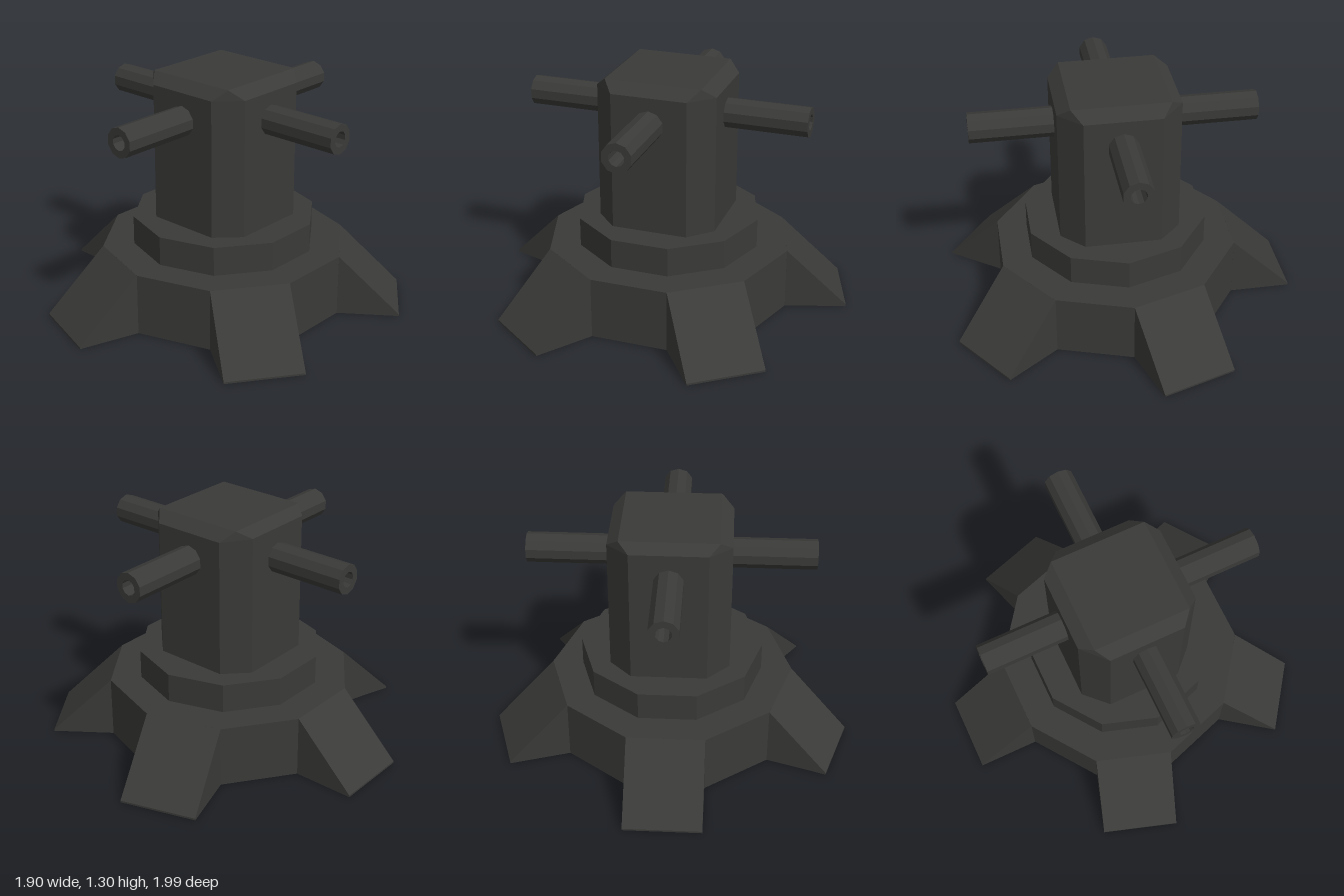
import * as THREE from 'three';
import { ConvexGeometry } from 'three/addons/geometries/ConvexGeometry.js';

export function createModel() {
  const model = new THREE.Group();
  model.name = 'turret';
  const body = new THREE.Group(); // everything shares one slightly offset axis
  body.name = 'body';
  body.position.x = 0.03;
  model.add(body);

  const material = new THREE.MeshStandardMaterial({ color: 0x3a3a38, flatShading: true });
  const add = (name, geometry) => {
    const mesh = new THREE.Mesh(geometry, material);
    mesh.name = name;
    body.add(mesh);
    return mesh;
  };

  // Ten-sided base and the smaller step on it
  add('base', new THREE.CylinderGeometry(0.676, 0.676, 0.34, 10)).position.y = 0.17;
  add('step', new THREE.CylinderGeometry(0.505, 0.505, 0.16, 10)).position.y = 0.42;

  // Five sloped feet, one on every second side of the base
  const footWidth = 0.418;
  const footProfile = new THREE.Shape([
    new THREE.Vector2(0.643, 0),
    new THREE.Vector2(0.98, 0),
    new THREE.Vector2(0.98, 0.01),
    new THREE.Vector2(0.643, 0.34),
  ]);
  const footGeometry = new THREE.ExtrudeGeometry(footProfile, { depth: footWidth, bevelEnabled: false });
  footGeometry.translate(0, 0, -footWidth / 2);
  for (let i = 0; i < 5; i++) {
    add('foot' + (i + 1), footGeometry).rotation.y = Math.PI + (i * Math.PI * 2) / 5;
  }

  // Square tower with chamfered uprights and a bevelled top
  const outer = 0.325, flat = 0.205, top = 0.26;
  const points = [];
  for (const sx of [-1, 1]) {
    for (const sz of [-1, 1]) {
      for (const [x, z] of [[outer, flat], [flat, outer]]) {
        const shoulder = sx < 0 && x === outer ? 1.265 : 1.25;
        points.push(new THREE.Vector3(sx * x, 0.5, sz * z));
        points.push(new THREE.Vector3(sx * x, shoulder, sz * z));
      }
      points.push(new THREE.Vector3(sx * top, 1.305, sz * top));
    }
  }
  add('tower', new ConvexGeometry(points));

  // Four hollow barrels, one out of each side of the tower
  const barrelProfile = [[0.081, 0.3], [0.081, 0.77], [0.042, 0.77], [0.042, 0.62], [0, 0.62]]
    .map(([r, y]) => new THREE.Vector2(r, y));
  const barrelGeometry = new THREE.LatheGeometry(barrelProfile, 10);
  barrelGeometry.rotateX(Math.PI / 2);
  ['front', 'left', 'back', 'right'].forEach((side, i) => {
    const barrel = add(side + 'Barrel', barrelGeometry);
    barrel.position.y = 1.1;
    barrel.rotation.y = (i * Math.PI) / 2;
  });

  return model;
}
